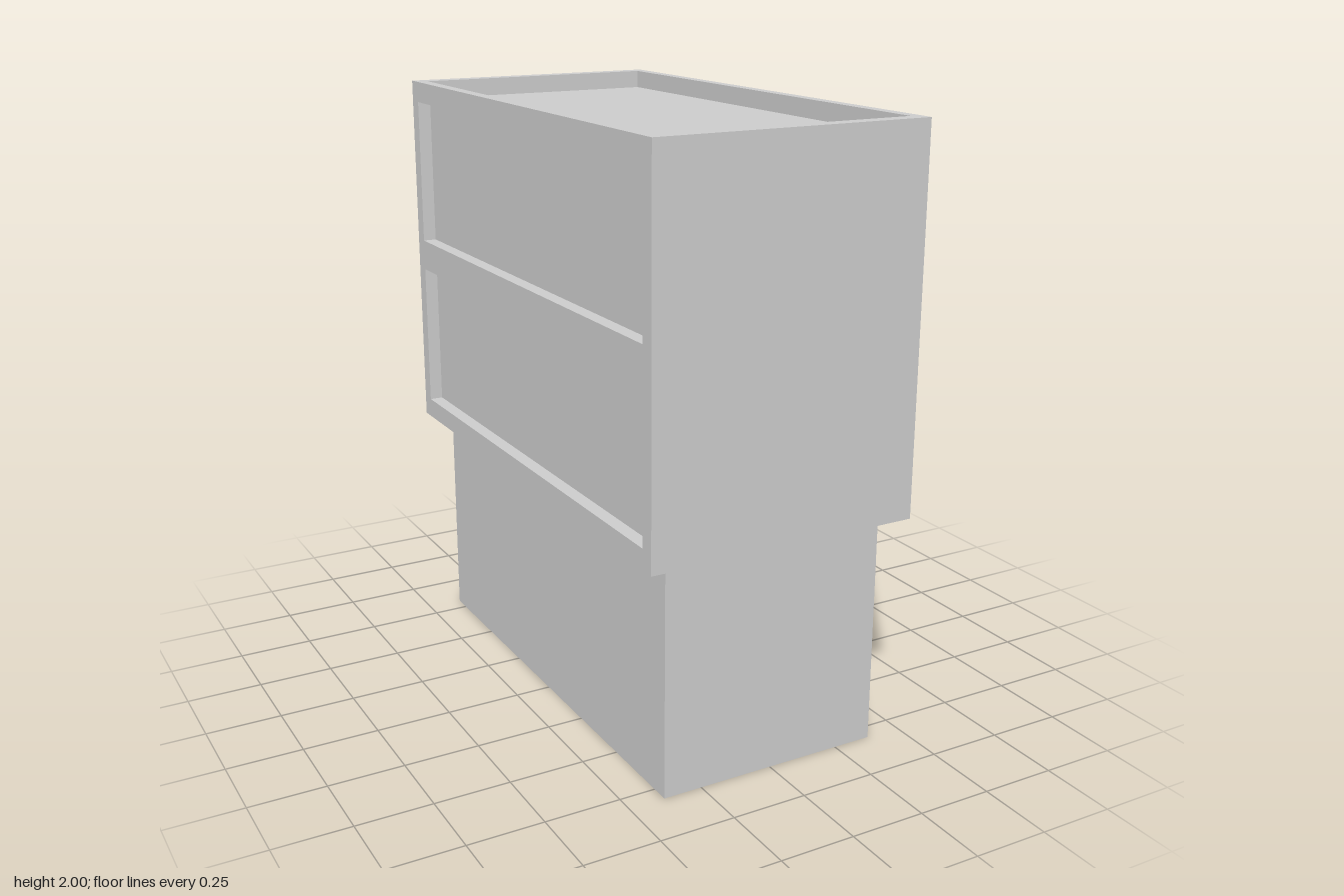
import * as THREE from 'three';

const mat = new THREE.MeshStandardMaterial({ color: 0xcccccc, side: THREE.DoubleSide, flatShading: true });

function add(group, name, geo) {
  const m = new THREE.Mesh(geo, mat);
  m.name = name;
  group.add(m);
  return m;
}

// Box given by its limits on each axis
function block(group, name, x0, x1, y0, y1, z0, z1) {
  const g = new THREE.BoxGeometry(x1 - x0, y1 - y0, z1 - z0);
  g.translate((x0 + x1) / 2, (y0 + y1) / 2, (z0 + z1) / 2);
  return add(group, name, g);
}

const rect = (a0, a1, b0, b1) => [[a0, b0], [a1, b0], [a1, b1], [a0, b1]];
const toPoints = (list) => list.map(([a, b]) => new THREE.Vector2(a, b));

function extrude(outline, holes, depth) {
  const s = new THREE.Shape(toPoints(outline));
  holes.forEach((h) => s.holes.push(new THREE.Path(toPoints(h))));
  return new THREE.ExtrudeGeometry(s, { depth, bevelEnabled: false });
}

// Wall panel drawn in (-z, y) with thickness from x0 to x1
function panel(group, name, x0, x1, outline, holes = []) {
  const g = extrude(outline, holes, x1 - x0);
  g.rotateY(Math.PI / 2);
  g.translate(x0, 0, 0);
  return add(group, name, g);
}

// Profile drawn in (x, y), run along z
function prism(group, name, profile, halfZ) {
  const g = extrude(profile, [], halfZ * 2);
  g.translate(0, 0, -halfZ);
  return add(group, name, g);
}

function upperFloors() {
  const g = new THREE.Group();
  g.name = 'upperFloors';
  const X = 0.46, Z = 0.87, F = 0.457, inner = 0.3, roofY = 1.94;

  // Solid core, end walls and floor slabs
  block(g, 'core', -0.415, inner, 0.768, 1.93, -0.85, 0.85);
  for (const s of [-1, 1]) {
    block(g, 'endWall', -0.415, F, 0.768, roofY, s > 0 ? 0.85 : -Z, s > 0 ? Z : -0.85);
  }
  block(g, 'lowerFloorSlab', -0.415, F, 0.768, 0.85, -0.85, 0.85);
  block(g, 'upperFloorSlab', inner, F, 1.35, 1.44, -0.85, 0.85);

  // Roof slab with a sloping soffit over the gallery
  prism(g, 'roofSlab', [[-0.415, 1.915], [inner, 1.915], [F, roofY], [-0.415, roofY]], 0.85);

  // Parapet ring
  const ring = extrude(rect(-X, F, -Z, Z), [rect(-0.42, 0.42, -0.82, 0.82)], 2 - roofY);
  ring.rotateX(-Math.PI / 2);
  ring.translate(0, roofY, 0);
  add(g, 'parapet', ring);

  // Rear wall with two long shallow recesses
  panel(g, 'rearWall', -X, -0.415, rect(-Z, Z, 0.768, roofY),
    [rect(-0.82, 0.82, 0.835, 1.33), rect(-0.82, 0.82, 1.435, 1.93)]);

  // Galleries: balustrade, mullions and top rail on each storey
  for (const [floor, sill, top] of [[0.85, 1.0, 1.35], [1.44, 1.595, 1.915]]) {
    block(g, 'balustrade', F - 0.01, F + 0.002, floor, sill, -0.85, 0.85);
    for (let i = -2; i <= 2; i++) {
      const z = i * 0.284;
      block(g, 'mullion', inner, inner + 0.025, floor, top, z - 0.013, z + 0.013);
    }
    for (const s of [-1, 1]) {
      block(g, 'endMullion', inner, inner + 0.025, floor, top, s * 0.845 - 0.005, s * 0.845 + 0.005);
    }
    block(g, 'topRail', inner, inner + 0.02, top - 0.007, top, -0.85, 0.85);
  }
  return g;
}

function groundFloor() {
  const g = new THREE.Group();
  g.name = 'groundFloor';
  const X = 0.38, Z = 0.81, H = 0.757, back = X - 0.035;
  const windows = [-0.5375, 0.5375].map((c) => [c - 0.1975, c + 0.1975]);

  // Hollow shell, open underneath
  const rear = new THREE.PlaneGeometry(2 * Z, H);
  rear.rotateY(-Math.PI / 2);
  rear.translate(-X, H / 2, 0);
  add(g, 'rearWall', rear);
  for (const s of [-1, 1]) {
    const side = new THREE.PlaneGeometry(2 * X, H);
    if (s < 0) side.rotateY(Math.PI);
    side.translate(0, H / 2, s * Z);
    add(g, 'sideWall', side);
  }
  const lid = new THREE.PlaneGeometry(2 * X, 2 * Z);
  lid.rotateX(-Math.PI / 2);
  lid.translate(0, H, 0);
  add(g, 'ceiling', lid);

  // Shop front in two halves either side of the doorway
  for (const [w0, w1] of windows) {
    const outer = w0 < 0 ? [-Z, -0.23] : [0.23, Z];
    panel(g, 'shopFront', back, X, rect(...outer, 0, H), [rect(w0, w1, 0.045, 0.72)]);
    panel(g, 'windowFrame', back, back + 0.015, rect(w0, w1, 0.045, 0.72),
      [rect(w0 + 0.009, w1 - 0.009, 0.054, 0.711)]);
    block(g, 'windowPane', back - 0.002, back + 0.002, 0.045, 0.72, w0, w1);
  }

  // Double door with two inset panels, sloping head and threshold
  panel(g, 'door', back - 0.02, back, rect(-0.23, 0.23, 0, H),
    [rect(-0.2, -0.023, 0.23, 0.615), rect(0.023, 0.2, 0.23, 0.615)]);
  block(g, 'doorPanels', back - 0.022, back - 0.018, 0.2, 0.64, -0.22, 0.22);
  prism(g, 'doorHead', [[back, 0.675], [X, H - 0.004], [X, H], [back, H]], 0.23);
  block(g, 'threshold', back, X, 0, 0.004, -0.23, 0.23);
  return g;
}

export function createModel() {
  const model = new THREE.Group();
  model.name = 'building';
  model.add(groundFloor(), upperFloors());
  return model;
}
